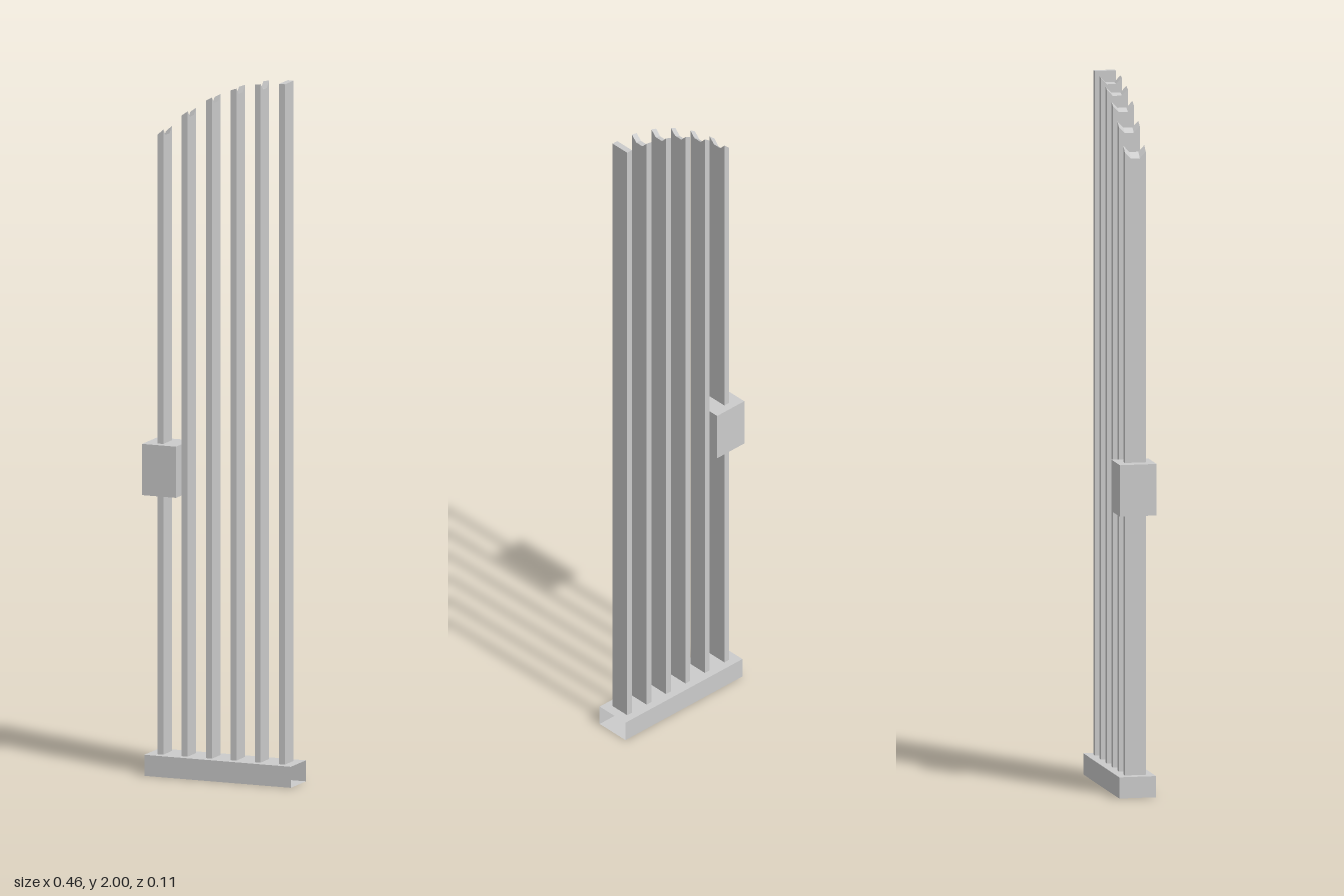
import * as THREE from 'three';

const grey = new THREE.MeshStandardMaterial({ color: 0xcccccc, flatShading: true, side: THREE.DoubleSide });

function add(group, name, geometry, x, y, z) {
  const mesh = new THREE.Mesh(geometry, grey);
  mesh.name = name;
  mesh.position.set(x, y, z);
  group.add(mesh);
}

// Flat bar with a scalloped top that follows the sweeping curve of the gate
function barGeometry(x, scalloped) {
  const w = 0.018, d = 0.03, low = scalloped ? 0.018 : 0;
  const profile = new THREE.Shape([
    [-d, 0.05], [d, 0.05], [d, 2], [0.013, 2 - low], [-0.013, 2 - low], [-d, 2],
  ].map(([u, v]) => new THREE.Vector2(u, v)));
  const g = new THREE.ExtrudeGeometry(profile, { depth: w, bevelEnabled: false });
  g.translate(0, 0, -w / 2).rotateY(-Math.PI / 2);
  const p = g.attributes.position;
  if (scalloped) {
    for (let i = 0; i < p.count; i++) {
      if (p.getY(i) > 1) p.setY(i, p.getY(i) - 1.19 * (0.19 - x - p.getX(i)) ** 2);
    }
  }
  g.computeVertexNormals();
  return g;
}

export function createModel() {
  const gate = new THREE.Group();
  gate.name = 'gate';

  // Hollow bottom rail, open at its +x end
  const rail = new THREE.BoxGeometry(0.448, 0.06, 0.106);
  rail.setIndex(Array.from(rail.index.array).slice(6));
  rail.clearGroups();
  add(gate, 'bottomRail', rail, 0.002, 0.03, -0.001);

  // Six upright bars
  const count = 6;
  for (let i = 0; i < count; i++) {
    const x = -0.183 + i * 0.0744;
    add(gate, 'bar' + (i + 1), barGeometry(x, i < count - 1), x, 0, -0.001);
  }

  // Lock box on the shortest bar
  add(gate, 'lockBox', new THREE.BoxGeometry(0.104, 0.146, 0.106), -0.177, 0.873, -0.001);

  return gate;
}
